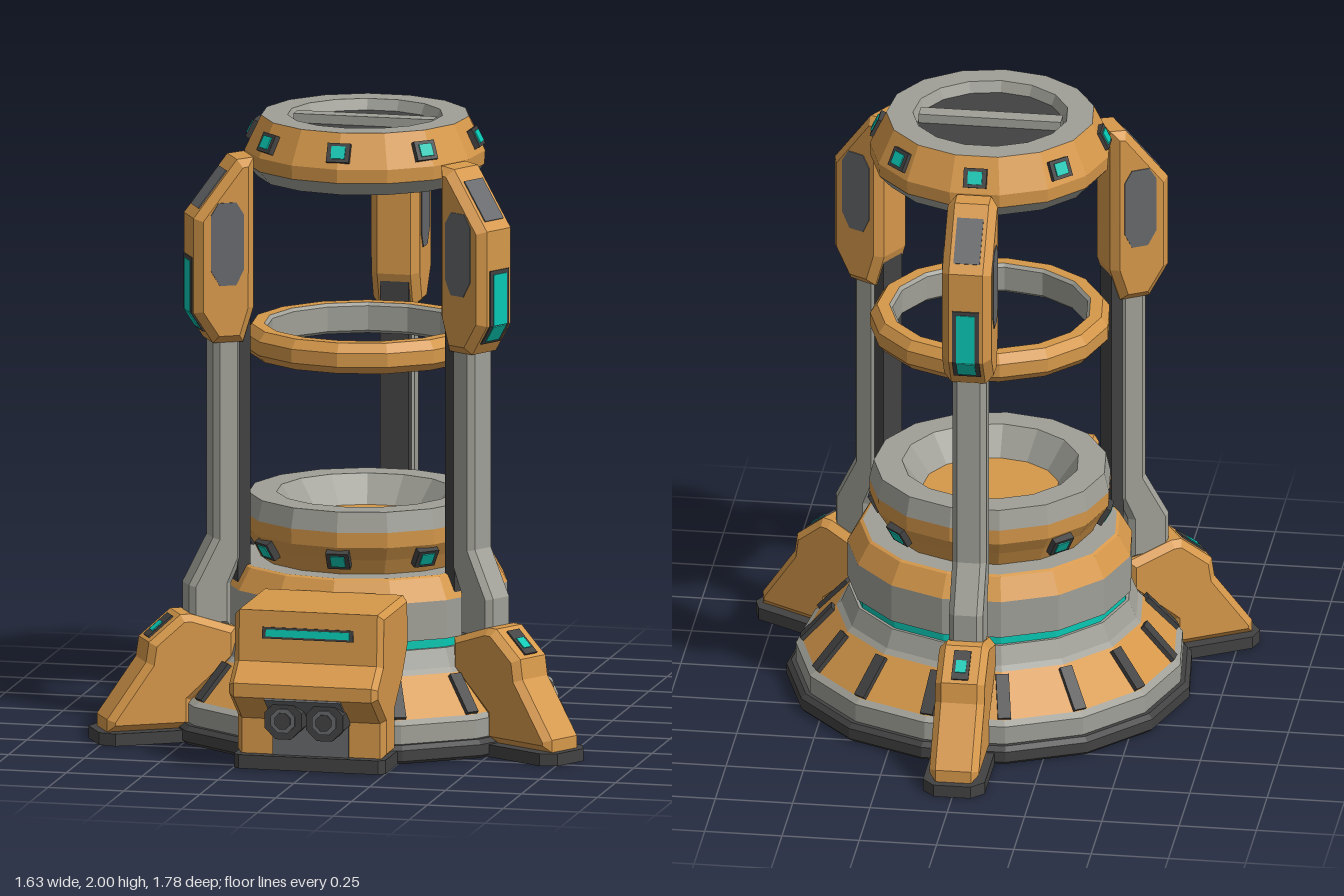
import * as THREE from 'three';

const mat = (name, color) => {
  const m = new THREE.MeshStandardMaterial({ color });
  m.name = name;
  return m;
};

export function createModel() {
  const orange = mat('orange paint', 0xd6984a);
  const grey = mat('light grey metal', 0xa0a098);
  const dark = mat('dark rubber', 0x424242);
  const slate = mat('slate panel', 0x66686b);
  const teal = mat('teal light', 0x08c8b4);

  const model = new THREE.Group();
  model.name = 'containmentPod';
  const body = new THREE.Group();
  body.name = 'body';
  body.position.z = 0.02;
  model.add(body);

  const add = (parent, name, geometry, material) => {
    const flat = geometry.index ? geometry.toNonIndexed() : geometry;
    flat.computeVertexNormals();
    const mesh = new THREE.Mesh(flat, material);
    mesh.name = name;
    parent.add(mesh);
    return mesh;
  };
  const vec = (pts) => pts.map(([x, y]) => new THREE.Vector2(x, y));

  // fifteen-sided turned part
  const turn = (name, material, pts) => add(body, name, new THREE.LatheGeometry(vec(pts), 15), material);

  // side profile (z, y) extruded across x, with chamfered edges
  const profile = (parent, name, material, pts, width, bevel = 0) => {
    const g = new THREE.ExtrudeGeometry(new THREE.Shape(vec(pts)), {
      depth: width - 2 * bevel, bevelEnabled: bevel > 0, bevelSize: bevel,
      bevelThickness: bevel, bevelOffset: -bevel, bevelSegments: 1,
    });
    g.translate(0, 0, bevel - width / 2).rotateY(-Math.PI / 2);
    return add(parent, name, g, material);
  };

  // flat plan (x, z) extruded upward from the ground
  const pad = (parent, name, pts, height) => {
    const g = new THREE.ExtrudeGeometry(new THREE.Shape(vec(pts)), { depth: height, bevelEnabled: false });
    g.rotateX(Math.PI / 2).translate(0, height, 0);
    return add(parent, name, g, dark);
  };

  // plate lying along the line from p (lower) to q (upper) in the (z, y) plane
  const slab = (parent, name, material, p, q, width, thick) => {
    const dz = q[0] - p[0], dy = q[1] - p[1];
    const mesh = add(parent, name, new THREE.BoxGeometry(width, Math.hypot(dz, dy), thick), material);
    mesh.position.set(0, (p[1] + q[1]) / 2, (p[0] + q[0]) / 2);
    mesh.rotation.x = Math.atan2(dz, dy);
    return mesh;
  };

  const spoke = (name, angle) => {
    const g = new THREE.Group();
    g.name = name;
    g.rotation.y = angle;
    body.add(g);
    return g;
  };

  // stepped base
  turn('baseDisc', dark, [[0, 0], [0.645, 0], [0.655, 0.01], [0.655, 0.045], [0.64, 0.06], [0.6, 0.06]]);
  turn('baseBand', grey, [[0.625, 0.055], [0.625, 0.12], [0.605, 0.135]]);
  turn('baseSkirt', orange, [[0.605, 0.135], [0.495, 0.255]]);
  turn('baseStep', grey, [[0.495, 0.255], [0.48, 0.27], [0.455, 0.33], [0.43, 0.33]]);
  turn('lightBand', teal, [[0.445, 0.325], [0.445, 0.365]]);
  turn('drum', grey, [[0.43, 0.36], [0.46, 0.36], [0.46, 0.485]]);
  turn('drumShoulder', orange, [[0.46, 0.485], [0.42, 0.555], [0.41, 0.56]]);
  turn('drumTop', grey, [[0.41, 0.56], [0.32, 0.56]]);
  for (let i = 0; i < 15; i++) {
    const s = spoke('skirtSlat', (i * Math.PI * 2) / 15);
    slab(s, 'slat', dark, [0.605, 0.14], [0.505, 0.25], 0.042, 0.016);
  }

  // lower cup
  turn('cupWall', orange, [[0.335, 0.56], [0.36, 0.61], [0.388, 0.655], [0.39, 0.705]]);
  turn('cupRim', grey, [[0.39, 0.705], [0.375, 0.77], [0.285, 0.77], [0.22, 0.68]]);
  turn('cupFloor', orange, [[0.22, 0.68], [0, 0.68]]);

  // floating middle ring
  turn('ringOuter', orange, [[0.325, 1.22], [0.365, 1.22], [0.387, 1.245], [0.387, 1.29], [0.365, 1.32], [0.325, 1.32]]);
  turn('ringInner', grey, [[0.325, 1.32], [0.315, 1.31], [0.315, 1.23], [0.325, 1.22]]);

  // crown
  turn('crownCeiling', orange, [[0, 1.87], [0.22, 1.87]]);
  turn('crownUnderside', grey, [[0.22, 1.87], [0.27, 1.8], [0.345, 1.8], [0.385, 1.845]]);
  turn('crownWall', orange, [[0.385, 1.845], [0.388, 1.89], [0.335, 2]]);
  turn('crownRim', grey, [[0.335, 2], [0.25, 2], [0.235, 1.965]]);
  turn('crownRecess', dark, [[0.235, 1.965], [0, 1.965]]);
  const bar = add(body, 'crownBar', new THREE.BoxGeometry(0.46, 0.03, 0.055), grey);
  bar.position.y = 1.98;

  // eight lights around the cup and the crown
  for (let i = 0; i < 8; i++) {
    const s = spoke('emitter', (i * Math.PI) / 4);
    slab(s, 'cupLightFrame', dark, [0.351, 0.587], [0.383, 0.642], 0.075, 0.025);
    slab(s, 'cupLight', teal, [0.357, 0.597], [0.378, 0.633], 0.046, 0.032);
    slab(s, 'crownLightFrame', dark, [0.378, 1.91], [0.35, 1.967], 0.075, 0.02);
    slab(s, 'crownLight', teal, [0.374, 1.92], [0.355, 1.957], 0.046, 0.028);
  }

  // three pillars: foot, column, rail and head
  [Math.PI, Math.PI / 3, -Math.PI / 3].forEach((angle) => {
    const leg = spoke('pillar', angle);
    pad(leg, 'footPad', [[-0.1, 0.5], [0.1, 0.5], [0.1, 0.865], [0.06, 0.907], [-0.06, 0.907], [-0.1, 0.865]], 0.04);
    profile(leg, 'foot', orange, [[0.6, 0.04], [0.88, 0.04], [0.88, 0.08], [0.75, 0.26], [0.74, 0.325],
      [0.635, 0.41], [0.6, 0.41], [0.45, 0.36], [0.45, 0.26], [0.6, 0.13]], 0.16, 0.022);
    slab(leg, 'footSlot', dark, [0.73, 0.333], [0.65, 0.398], 0.055, 0.012);
    slab(leg, 'footLight', teal, [0.712, 0.348], [0.678, 0.375], 0.034, 0.018);
    profile(leg, 'column', grey, [[0.425, 1.36], [0.425, 0.58], [0.46, 0.5], [0.46, 0.36], [0.6, 0.36],
      [0.6, 0.5], [0.52, 0.65], [0.52, 1.36]], 0.11, 0.018);
    profile(leg, 'innerRail', dark, [[0.398, 0.55], [0.44, 0.5], [0.44, 1.45], [0.398, 1.45]], 0.095);
    profile(leg, 'head', orange, [[0.39, 1.89], [0.39, 1.4], [0.425, 1.29], [0.525, 1.29], [0.59, 1.39],
      [0.59, 1.7], [0.445, 1.885]], 0.16, 0.025);
    // slate side panels and sloping top panel
    profile(leg, 'headSidePanels', slate, [[0.43, 1.53], [0.455, 1.48], [0.51, 1.48], [0.54, 1.53],
      [0.54, 1.71], [0.515, 1.75], [0.455, 1.75], [0.43, 1.71]], 0.166);
    slab(leg, 'headTopPanel', slate, [0.568, 1.728], [0.475, 1.847], 0.085, 0.008);
    // light strip that folds under the chin
    slab(leg, 'headSlot', dark, [0.59, 1.39], [0.59, 1.57], 0.088, 0.008);
    slab(leg, 'headSlotChin', dark, [0.55, 1.328], [0.59, 1.39], 0.088, 0.008);
    slab(leg, 'headLight', teal, [0.59, 1.39], [0.59, 1.557], 0.06, 0.014);
    slab(leg, 'headLightChin', teal, [0.556, 1.338], [0.59, 1.39], 0.06, 0.014);
  });

  // front control console
  const box = new THREE.Group();
  box.name = 'console';
  model.add(box);
  pad(box, 'consolePad', [[-0.25, 0.5], [0.25, 0.5], [0.25, 0.78], [0.23, 0.8], [-0.23, 0.8], [-0.25, 0.78]], 0.045);
  profile(box, 'consoleBody', orange, [[0.62, 0.04], [0.765, 0.04], [0.765, 0.16], [0.885, 0.25], [0.885, 0.295],
    [0.81, 0.355], [0.8, 0.52], [0.45, 0.52], [0.44, 0.36], [0.52, 0.26], [0.62, 0.18]], 0.49, 0.018);
  slab(box, 'consoleSlot', dark, [0.807, 0.43], [0.804, 0.467], 0.3, 0.008);
  slab(box, 'consoleLight', teal, [0.807, 0.437], [0.805, 0.46], 0.275, 0.014);
  slab(box, 'socketPlate', slate, [0.768, 0.045], [0.768, 0.165], 0.25, 0.01);
  slab(box, 'socketPlateTop', slate, [0.768, 0.16], [0.885, 0.248], 0.25, 0.01);
  for (const x of [-0.068, 0.068]) {
    const socket = new THREE.Group();
    socket.name = 'socket';
    socket.position.set(x, 0.175, 0);
    box.add(socket);
    const tube = (name, r, z0, z1, m) => {
      const g = new THREE.CylinderGeometry(r, r, z1 - z0, 8);
      add(socket, name, g.rotateY(Math.PI / 8).rotateX(Math.PI / 2).translate(0, 0, (z0 + z1) / 2), m);
    };
    tube('socketBody', 0.066, 0.75, 0.865, dark);
    tube('socketRing', 0.042, 0.86, 0.872, slate);
    tube('socketCore', 0.028, 0.86, 0.877, dark);
  }
  return model;
}
